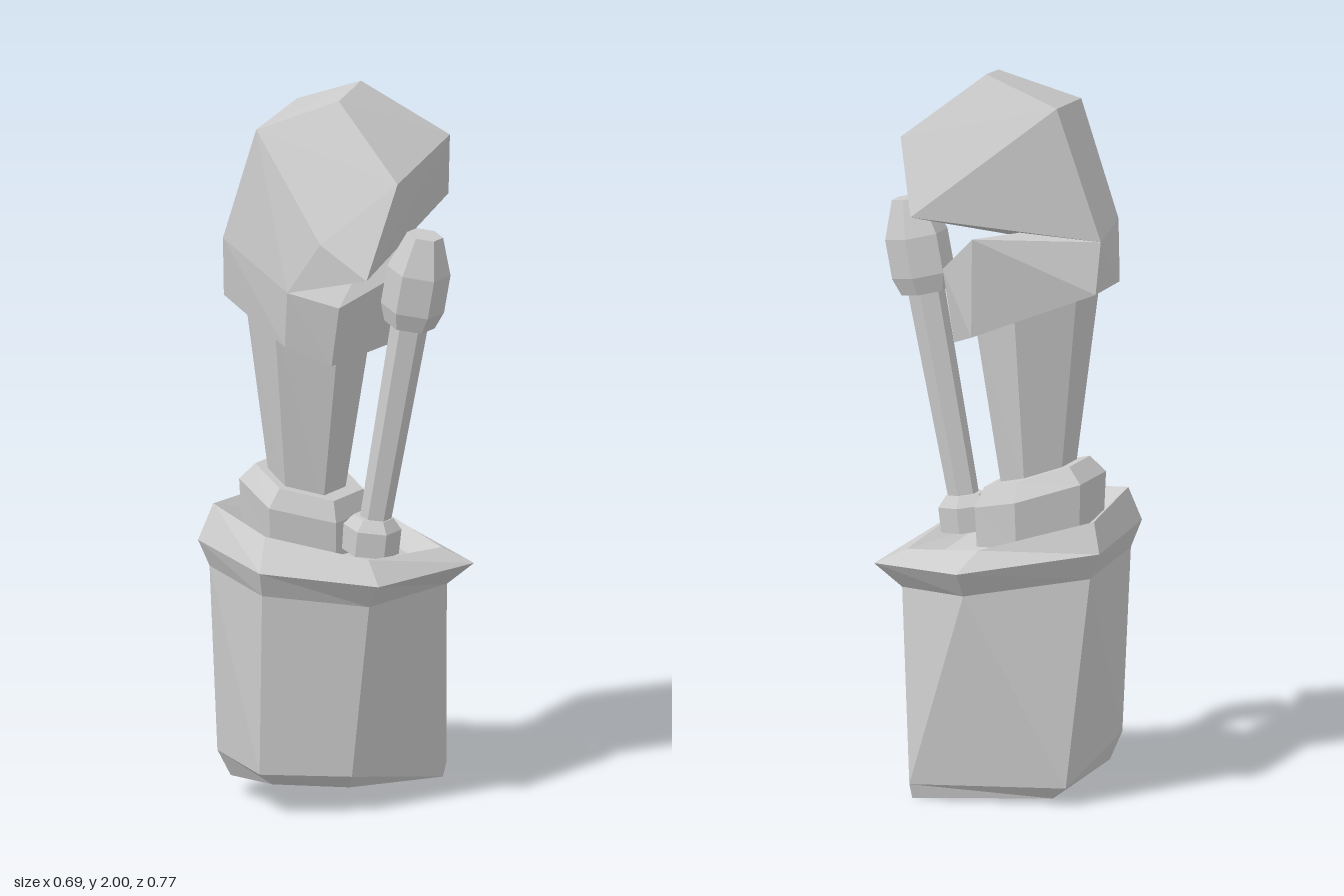
import * as THREE from 'three';
import { ConvexGeometry } from 'three/addons/geometries/ConvexGeometry.js';

const material = new THREE.MeshStandardMaterial({ color: 0xcccccc, flatShading: true });

function addMesh(parent, name, geometry) {
  const mesh = new THREE.Mesh(geometry, material);
  mesh.name = name;
  parent.add(mesh);
  return mesh;
}

// Skin a stack of rings, lowest first, and close both ends with fans.
function loft(rings) {
  const pos = [];
  const tri = (...corners) => corners.forEach((p) => pos.push(...p));
  const centre = (ring) => [0, 1, 2].map((k) => ring.reduce((s, p) => s + p[k], 0) / ring.length);
  const n = rings[0].length;
  const first = rings[0], last = rings[rings.length - 1];
  for (let i = 0; i < n; i++) {
    const j = (i + 1) % n;
    for (let r = 0; r + 1 < rings.length; r++) {
      const lo = rings[r], hi = rings[r + 1];
      tri(lo[i], lo[j], hi[i]);
      tri(lo[j], hi[j], hi[i]);
    }
    tri(centre(first), first[j], first[i]);
    tri(centre(last), last[i], last[j]);
  }
  const geometry = new THREE.BufferGeometry();
  geometry.setAttribute('position', new THREE.Float32BufferAttribute(pos, 3));
  geometry.computeVertexNormals();
  return geometry;
}

// Ring of [x, z] corners lying on a tilted plane.
const tilted = (corners, y, sx, sz) => corners.map(([x, z]) => [x, y + sx * x + sz * z, z]);

// Tilted hexagon with corners toward +z and -z.
function hexRing(cx, cy, cz, rx, rz, slope) {
  return Array.from({ length: 6 }, (_, i) => {
    const a = (i * Math.PI) / 3;
    const dx = (rx * Math.sin(a)) / 0.866;
    return [cx + dx, cy + slope * dx, cz + rz * Math.cos(a)];
  });
}

const hull = (points) => new ConvexGeometry(points.map((p) => new THREE.Vector3(...p)));

export function createModel() {
  const model = new THREE.Group();
  model.name = 'model';

  // Pot: corners run front, left front, left back, back, right back, right front.
  const foot = [[-0.03, 0.08, 0.30], [0.14, 0.065, 0.17], [0.17, 0, -0.28],
    [0.17, 0, -0.28], [-0.22, 0.015, -0.22], [-0.24, 0.05, 0.17]];
  const recess = foot.map(([x, y, z]) => [-0.03 + (x + 0.03) * 0.7, y * 0.7 + 0.06, z * 0.7]);
  const bodyBottom = [[-0.035, 0.12, 0.36], [0.165, 0.105, 0.2], [0.175, 0.04, -0.29],
    [0.175, 0.04, -0.29], [-0.265, 0.05, -0.24], [-0.265, 0.125, 0.2]];
  const underRim = tilted([[-0.03, 0.355], [0.22, 0.2], [0.23, -0.2],
    [0, -0.335], [-0.31, -0.17], [-0.29, 0.2]], 0.605, -0.1, 0.05);
  const rimEdge = tilted([[-0.02, 0.385], [0.265, 0.225], [0.305, -0.22],
    [0, -0.39], [-0.345, -0.19], [-0.315, 0.22]], 0.677, -0.1, 0.045);
  const lip = [[-0.05, 0.305], [0.2, 0.17], [0.22, -0.19],
    [-0.035, -0.315], [-0.32, -0.165], [-0.29, 0.18]];
  const rimTop = tilted(lip, 0.74, -0.2, 0.1);
  const soil = tilted(lip.map(([x, z]) => [-0.05 + (x + 0.05) * 0.75, z * 0.75]), 0.695, -0.2, 0.08);
  addMesh(model, 'pot', loft([recess, foot, bodyBottom, underRim, rimEdge, rimTop, soil]));

  // Collar and flaring neck
  addMesh(model, 'collar', loft([
    hexRing(-0.1, 0.7, 0, 0.15, 0.19, -0.25),
    hexRing(-0.1, 0.83, 0, 0.155, 0.2, -0.28),
    hexRing(-0.09, 0.88, 0, 0.125, 0.16, -0.3),
  ]));
  addMesh(model, 'neck', loft([
    hexRing(-0.09, 0.84, 0.015, 0.085, 0.11, -0.3),
    hexRing(-0.085, 1.36, 0.015, 0.15, 0.18, -0.3),
  ]));

  // Faceted head: wide crown over a narrower jaw
  const head = new THREE.Group();
  head.name = 'head';
  model.add(head);
  const leftBrow = [-0.3, 1.55, -0.06], leftCheek = [-0.265, 1.57, 0.17], chin = [0, 1.47, 0.27];
  addMesh(head, 'crown', hull([
    leftBrow, leftCheek, chin,
    [-0.18, 1.92, -0.085], [0.03, 2.0, -0.075], [0.055, 1.98, 0.085], [-0.15, 1.895, 0.185],
    [0.225, 1.84, -0.225], [0.275, 1.785, 0.14], [0.155, 1.64, -0.335],
    [0.25, 1.535, 0.265], [0.105, 1.62, 0.27],
  ]));
  addMesh(head, 'jaw', hull([
    leftBrow, leftCheek, chin,
    [0.13, 1.43, 0.21], [0.13, 1.46, -0.15], [0.01, 1.57, -0.24],
    [-0.3, 1.41, -0.1], [-0.28, 1.4, 0.14], [-0.02, 1.31, 0.25],
    [0.1, 1.26, 0.2], [0.1, 1.255, -0.14], [0.02, 1.29, -0.22],
  ]));

  // Leaning rod with a foot ring and a knob
  const rod = new THREE.Group();
  rod.name = 'rod';
  rod.position.set(0.115, 0.7, 0.02);
  model.add(rod);
  const turned = (name, profile, lean) => {
    const points = profile.map(([r, y]) => new THREE.Vector2(r, y));
    const mesh = addMesh(rod, name, new THREE.LatheGeometry(points, 6));
    mesh.rotation.z = -lean;
    return mesh;
  };
  turned('rodFoot', [[0, 0], [0.08, 0], [0.08, 0.07], [0.055, 0.1], [0, 0.1]], 0.12);
  turned('rodShaft', [[0, 0.02], [0.042, 0.02], [0.052, 0.7], [0, 0.7]], 0.19);
  turned('rodKnob', [[0, 0.67], [0.07, 0.67], [0.088, 0.72], [0.088, 0.83], [0.05, 0.935], [0, 0.935]], 0.19);

  return model;
}
